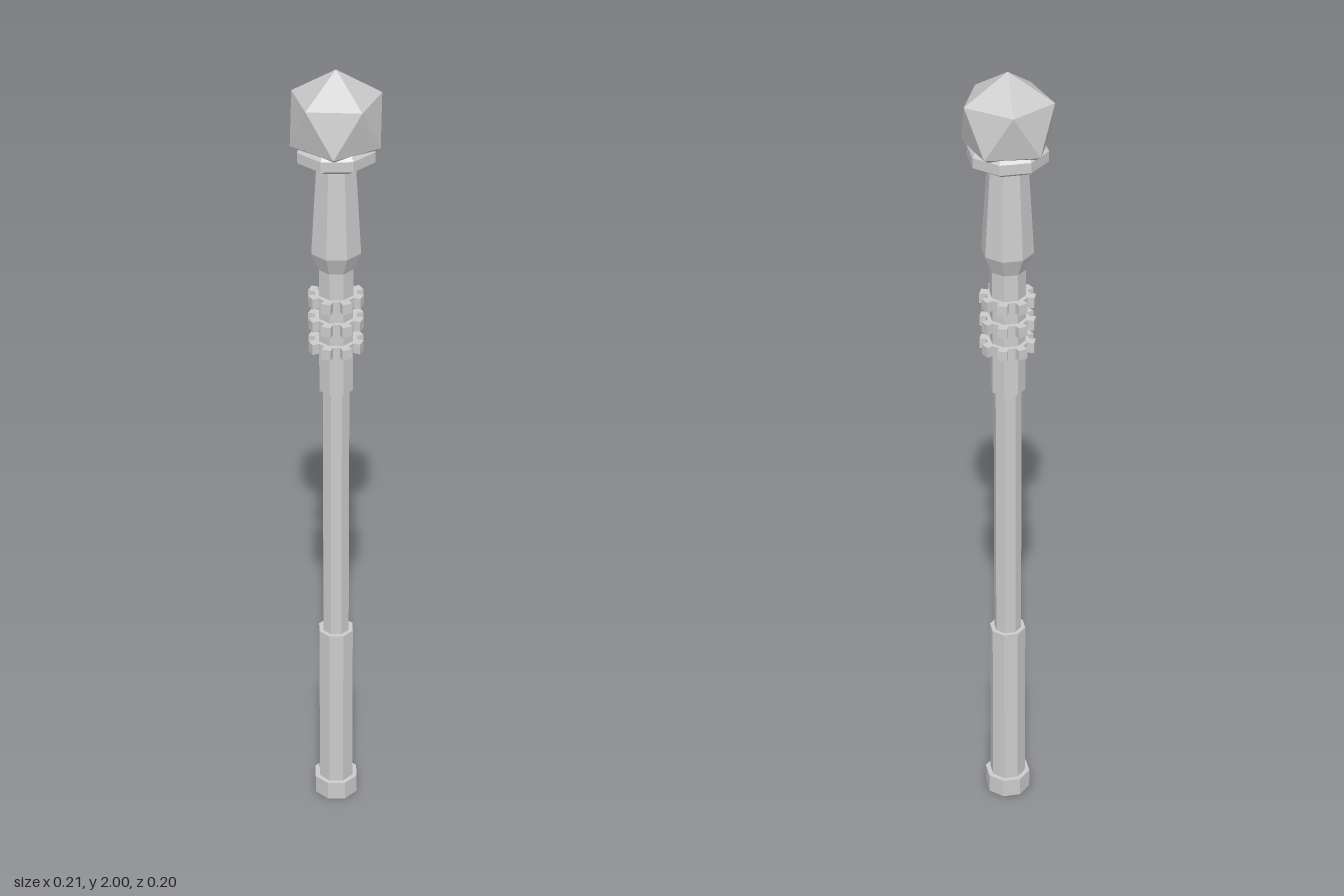
import * as THREE from 'three';
import { ConvexGeometry } from 'three/addons/geometries/ConvexGeometry.js';

const material = new THREE.MeshStandardMaterial({ color: 0xcccccc, flatShading: true });

// Eight-sided turned part from [radius, height] pairs, listed bottom to top and closed at both ends
function turned(name, profile) {
  const closed = [[0, profile[0][1]], ...profile, [0, profile[profile.length - 1][1]]];
  const points = closed.map(([r, y]) => new THREE.Vector2(r, y));
  const mesh = new THREE.Mesh(new THREE.LatheGeometry(points, 8), material);
  mesh.name = name;
  return mesh;
}

// Toothed ring centred at height y
function toothedRing(y) {
  const teeth = 8, inner = 0.05, outer = 0.066, height = 0.026;
  const points = [];
  for (let i = 0; i < teeth; i++) {
    const a = (i / teeth) * Math.PI * 2;
    for (const [r, da] of [[inner, -0.22], [outer, -0.18], [outer, 0.18], [inner, 0.22]]) {
      points.push(new THREE.Vector2(r * Math.cos(a + da), r * Math.sin(a + da)));
    }
  }
  const geometry = new THREE.ExtrudeGeometry(new THREE.Shape(points), { depth: height, bevelEnabled: false });
  geometry.rotateX(-Math.PI / 2).translate(0, y - height / 2, 0);
  const mesh = new THREE.Mesh(geometry, material);
  mesh.name = 'toothedRing';
  return mesh;
}

// Twenty-sided gem standing on one point
function gem(radius, y) {
  const ring = radius * 2 / Math.sqrt(5), rise = radius / Math.sqrt(5);
  const points = [new THREE.Vector3(0, radius, 0), new THREE.Vector3(0, -radius, 0)];
  for (let i = 0; i < 5; i++) {
    const a = (i / 5) * Math.PI * 2;
    const x = ring * Math.cos(a), z = ring * Math.sin(a);
    points.push(new THREE.Vector3(x, -rise, z), new THREE.Vector3(-x, rise, z));
  }
  const mesh = new THREE.Mesh(new ConvexGeometry(points), material);
  mesh.name = 'gem';
  mesh.position.y = y;
  return mesh;
}

export function createModel() {
  const model = new THREE.Group();
  model.name = 'staff';
  model.add(
    turned('endCap', [[0.057, 0], [0.057, 0.05]]),
    turned('lowerSleeve', [[0.045, 0.05], [0.045, 0.5]]),
    turned('shaft', [[0.034, 0.5], [0.034, 1.19]]),
    turned('upperSleeve', [[0.043, 1.19], [0.043, 1.51]]),
    turned('flaredNeck', [[0.043, 1.51], [0.062, 1.555], [0.048, 1.78]]),
    turned('collar', [[0.075, 1.778], [0.095, 1.79], [0.095, 1.815], [0.085, 1.828]]),
    gem(0.12, 1.88),
  );
  for (const y of [1.31, 1.37, 1.43]) model.add(toothedRing(y));
  return model;
}
